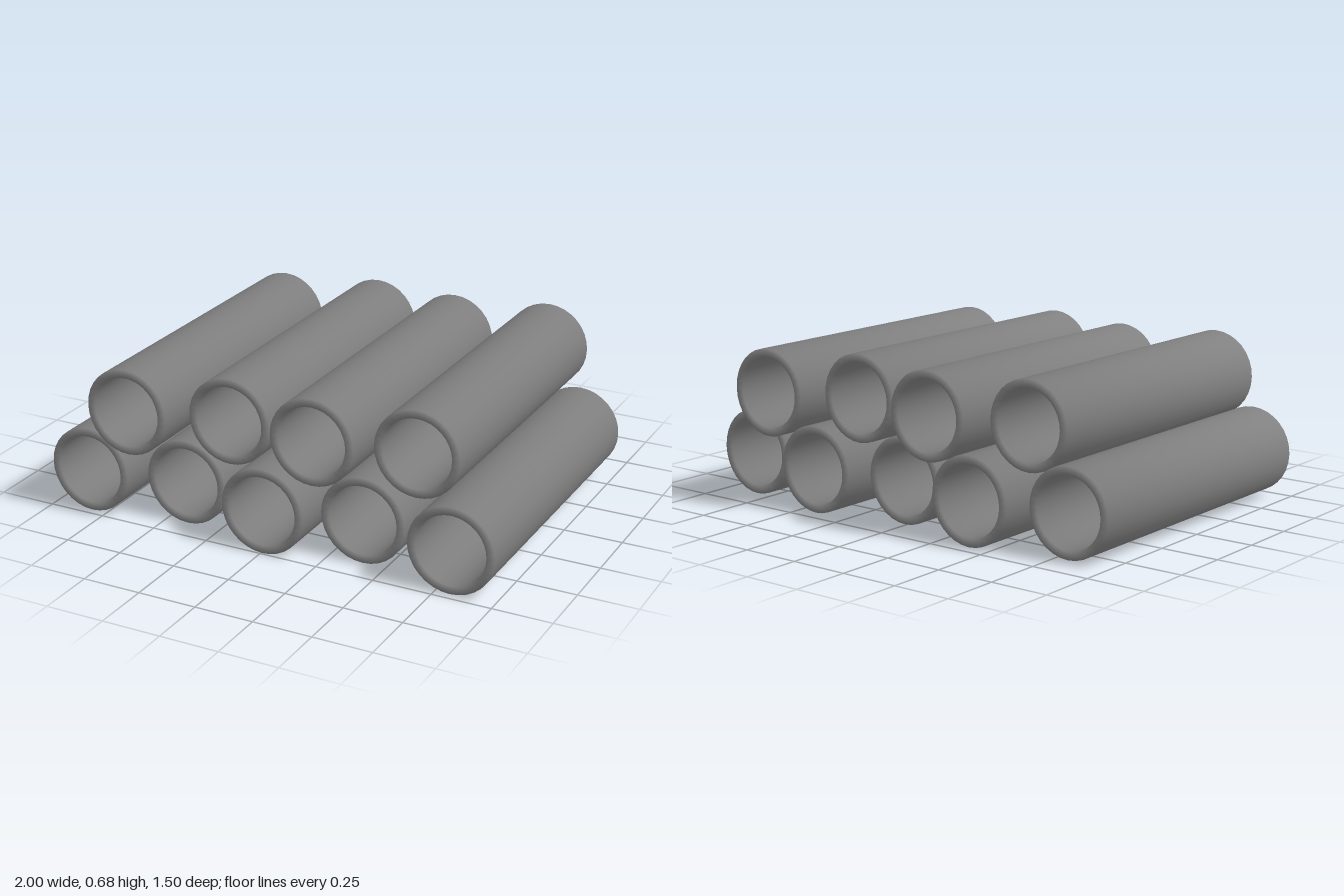
import * as THREE from 'three';

const OUTER = 0.183, INNER = 0.148, LENGTH = 1.34;

// Centre of each pipe: x, y, z
const bottomRow = [
  [-0.815, 0.19, 0.055],
  [-0.402, 0.186, -0.027],
  [0.007, 0.186, 0.073],
  [0.402, 0.19, -0.027],
  [0.815, 0.19, 0.053],
];
const topRow = [
  [-0.608, 0.494, 0.079],
  [-0.194, 0.494, -0.027],
  [0.205, 0.504, 0.026],
  [0.606, 0.494, -0.081],
];

// Hollow pipe along z with a closed rectangular wall section
function pipeGeometry() {
  const h = LENGTH / 2;
  const profile = [
    [INNER, -h], [OUTER, -h], [OUTER, h], [INNER, h], [INNER, -h],
  ].map(([r, y]) => new THREE.Vector2(r, y));
  const geometry = new THREE.LatheGeometry(profile, 32).rotateX(Math.PI / 2);

  // Soft rims: each normal lies halfway between the wall and the end face
  const { position, normal } = geometry.attributes;
  const n = new THREE.Vector3();
  for (let i = 0; i < position.count; i++) {
    n.fromBufferAttribute(position, i);
    const end = Math.sign(n.z);
    n.z = 0;
    const side = n.length() > (INNER + OUTER) / 2 ? 1 : -1;
    n.setLength(1).multiplyScalar(side).setZ(end).normalize();
    normal.setXYZ(i, n.x, n.y, n.z);
  }
  return geometry;
}

export function createModel() {
  const model = new THREE.Group();
  model.name = 'pipeStack';
  const geometry = pipeGeometry();
  const material = new THREE.MeshStandardMaterial({ color: 0x8a8a8a });

  const addRow = (name, centres) => {
    const row = new THREE.Group();
    row.name = name;
    centres.forEach((centre, i) => {
      const pipe = new THREE.Mesh(geometry, material);
      pipe.name = `${name}Pipe${i + 1}`;
      pipe.position.set(...centre);
      row.add(pipe);
    });
    model.add(row);
  };

  addRow('bottomRow', bottomRow);
  addRow('topRow', topRow);
  return model;
}
